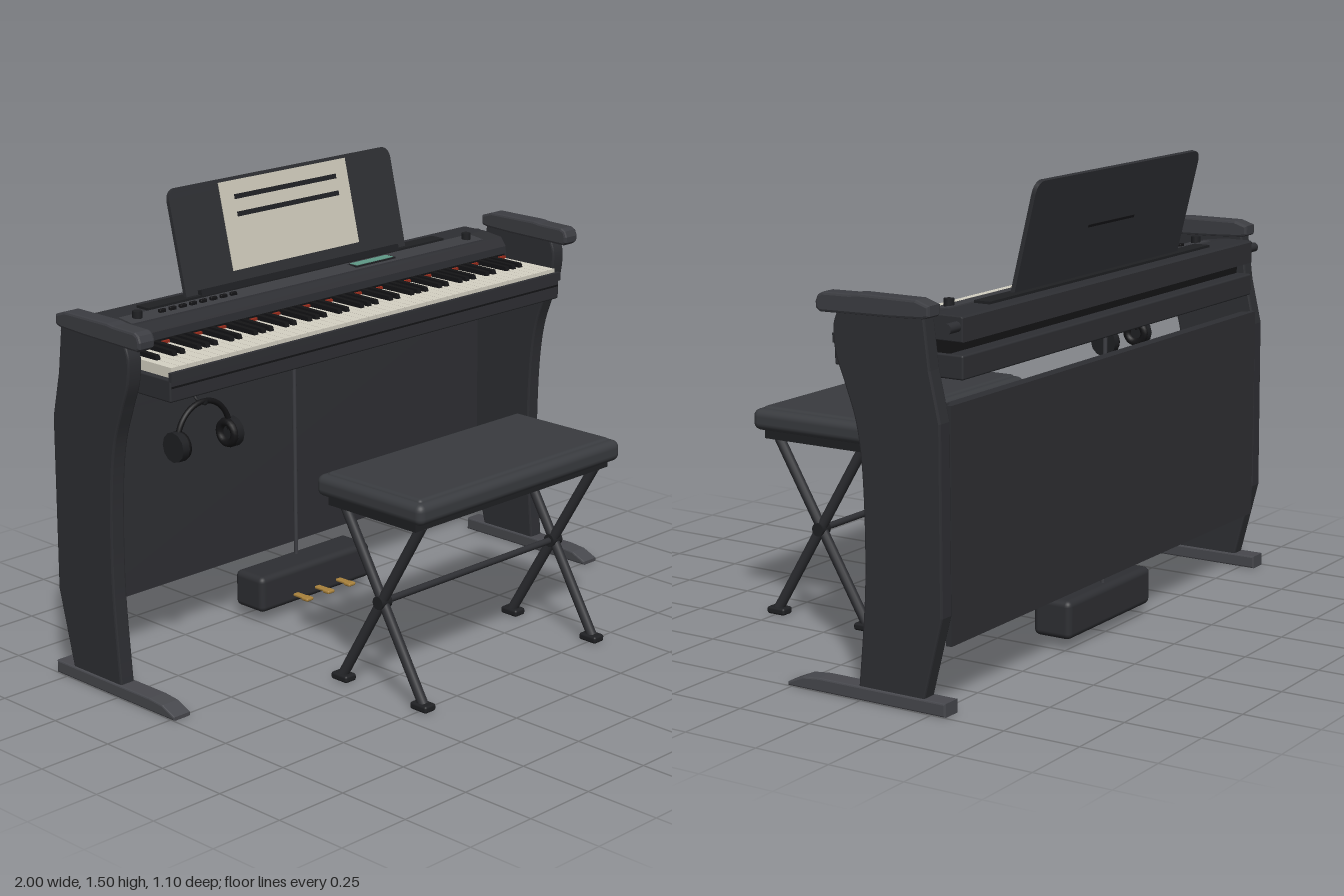
import * as THREE from 'three';
import { RoundedBoxGeometry } from 'three/addons/geometries/RoundedBoxGeometry.js';

const paint = (color) => new THREE.MeshStandardMaterial({ color });
const M = {
  body: paint(0x2e2f33), dark: paint(0x1f2023), foot: paint(0x47484d), panel: paint(0x3c3d42),
  seat: paint(0x393b3f), black: paint(0x141416), ivory: paint(0xd6d2c4), felt: paint(0x9a2c1c),
  paper: paint(0xcbc7b8), screen: paint(0x5f9a88), brass: paint(0xa8813c),
};

export function createModel() {
  const root = new THREE.Group();

  const group = (name, parent = root) => {
    const g = new THREE.Group();
    g.name = name;
    parent.add(g);
    return g;
  };
  const add = (name, geo, mat, parent = root) => {
    const m = new THREE.Mesh(geo, mat);
    m.name = name;
    parent.add(m);
    return m;
  };
  // Box given by its limits on each axis; r > 0 rounds the edges
  const box = (name, [x0, x1], [y0, y1], [z0, z1], mat, parent, r = 0) => {
    const s = [x1 - x0, y1 - y0, z1 - z0];
    const geo = r ? new RoundedBoxGeometry(...s, 3, r) : new THREE.BoxGeometry(...s);
    geo.translate((x0 + x1) / 2, (y0 + y1) / 2, (z0 + z1) / 2);
    return add(name, geo, mat, parent);
  };
  // Side profile of [z, y] points, extruded across x and centred on cx
  const profile = (name, shape, cx, width, bevel, mat, parent) => {
    const geo = new THREE.ExtrudeGeometry(shape, {
      depth: width - 2 * bevel, bevelEnabled: bevel > 0, bevelSize: bevel, bevelThickness: bevel,
      bevelOffset: -bevel, bevelSegments: 2, curveSegments: 10,
    });
    geo.rotateY(-Math.PI / 2).translate(cx + width / 2 - bevel, 0, 0);
    return add(name, geo, mat, parent);
  };
  const poly = (pts) => new THREE.Shape(pts.map((p) => new THREE.Vector2(...p)));
  const tube = (name, pts, r, mat, parent) => add(name, new THREE.TubeGeometry(
    new THREE.CatmullRomCurve3(pts.map((p) => new THREE.Vector3(...p))), 24, r, 8), mat, parent);
  const bar = (name, a, b, r, mat, parent) => {
    const va = new THREE.Vector3(...a), d = new THREE.Vector3(...b).sub(va);
    const m = add(name, new THREE.CylinderGeometry(r, r, d.length(), 12), mat, parent);
    m.position.copy(va).addScaledVector(d, 0.5);
    m.quaternion.setFromUnitVectors(new THREE.Vector3(0, 1, 0), d.normalize());
    return m;
  };

  // Curved side panels with arm caps and floor feet
  const side = new THREE.Shape();
  side.moveTo(-0.47, 0.03);
  side.lineTo(-0.24, 0.03);
  side.splineThru([[-0.262, 0.3], [-0.265, 0.49], [-0.257, 0.69], [-0.237, 0.83], [-0.2, 0.94],
    [-0.167, 1.03], [-0.16, 1.11], [-0.18, 1.165]].map((p) => new THREE.Vector2(...p)));
  for (const p of [[-0.475, 1.165], [-0.495, 1.01], [-0.53, 0.86], [-0.535, 0.29]]) side.lineTo(...p);
  const arm = poly([[-0.49, 1.16], [-0.47, 1.155], [-0.36, 1.15], [-0.115, 1.145], [-0.102, 1.155],
    [-0.1, 1.175], [-0.108, 1.195], [-0.125, 1.204], [-0.22, 1.206], [-0.25, 1.21], [-0.45, 1.21],
    [-0.495, 1.195], [-0.495, 1.165]]);
  const foot = poly([[-0.55, 0], [0.015, 0], [0.015, 0.012], [-0.04, 0.036], [-0.1, 0.042], [-0.55, 0.042]]);
  for (const s of [-1, 1]) {
    const g = group(s > 0 ? 'leftSide' : 'rightSide');
    profile('sidePanel', side, s * 0.966, 0.054, 0.006, M.body, g);
    profile('armCap', arm, s * 0.966, 0.064, 0.008, M.panel, g);
    profile('floorFoot', foot, s * 0.966, 0.068, 0.005, M.foot, g);
    bar('rearPeg', [s * 0.88, 1.125, -0.52], [s * 0.945, 1.125, -0.52], 0.016, M.body, g);
  }

  // Back board and its upper rail
  box('backBoard', [-0.94, 0.94], [0.195, 0.905], [-0.533, -0.513], M.body);
  box('backRail', [-0.915, 0.915], [0.83, 0.905], [-0.514, -0.495], M.body);

  // Keyboard case: lower tray, recessed core and upper housing
  const kb = group('keyboard');
  box('lowerTray', [-0.89, 0.89], [0.97, 1.042], [-0.54, -0.09], M.body, kb, 0.006);
  box('trayGroove', [-0.885, 0.885], [1.014, 1.02], [-0.1, -0.0885], M.black, kb);
  box('recessCore', [-0.88, 0.88], [1.03, 1.09], [-0.49, -0.335], M.black, kb);
  box('keySlip', [-0.89, 0.89], [1.035, 1.064], [-0.097, -0.083], M.body, kb);
  profile('upperHousing', poly([[-0.54, 1.08], [-0.335, 1.08], [-0.338, 1.115], [-0.36, 1.145],
    [-0.44, 1.155], [-0.535, 1.155], [-0.54, 1.15]]), 0, 1.784, 0.003, M.body, kb);
  box('feltStrip', [-0.877, 0.877], [1.076, 1.084], [-0.337, -0.325], M.felt, kb);

  // 52 white keys starting on A, with black keys after A, C, D, F and G
  const pitch = 1.754 / 52;
  for (let i = 0; i < 52; i++) {
    const x = -0.877 + i * pitch;
    box('whiteKey', [x + 0.0008, x + pitch - 0.0008], [1.043, 1.076], [-0.335, -0.099], M.ivory, kb);
    if (i < 51 && [0, 2, 3, 5, 6].includes(i % 7)) {
      profile('blackKey', poly([[-0.33, 1.07], [-0.192, 1.07], [-0.2, 1.09], [-0.33, 1.092]]),
        x + pitch, 0.017, 0, M.black, kb);
    }
  }

  // Control strip with buttons, knobs and display
  const controls = group('controls', kb);
  const strip = box('controlStrip', [-0.8, 0.8], [-0.004, 0.004], [-0.033, 0.033], M.panel, controls);
  strip.position.set(0, 1.15, -0.398);
  strip.rotation.x = 0.12;
  for (let i = 0; i < 8; i++) {
    const x = -0.65 + i * 0.043;
    box('button', [x - 0.013, x + 0.013], [1.15, 1.164], [-0.405, -0.392], M.black, controls, 0.003);
  }
  for (const x of [-0.75, 0.75]) bar('knob', [x, 1.148, -0.4], [x, 1.176, -0.4], 0.016, M.dark, controls);
  box('displayFrame', [0.19, 0.378], [1.148, 1.157], [-0.424, -0.38], M.dark, controls);
  box('display', [0.198, 0.37], [1.15, 1.159], [-0.419, -0.385], M.screen, controls);

  // Music stand leaning back, with a sheet
  box('standBase', [-0.675, 0.675], [1.15, 1.163], [-0.492, -0.437], M.dark);
  const stand = group('musicStand');
  stand.position.set(0, 1.155, -0.458);
  stand.rotation.x = -0.235;
  const board = new THREE.Shape();
  board.moveTo(-0.5, 0);
  board.lineTo(0.5, 0);
  board.lineTo(0.5, 0.315);
  board.quadraticCurveTo(0.497, 0.35, 0.465, 0.354);
  board.lineTo(-0.465, 0.354);
  board.quadraticCurveTo(-0.497, 0.35, -0.5, 0.315);
  add('standBoard', new THREE.ExtrudeGeometry(board, { depth: 0.014, bevelEnabled: false })
    .translate(0, 0, -0.007), M.body, stand);
  box('sheet', [-0.288, 0.285], [0.055, 0.343], [0.006, 0.0095], M.paper, stand);
  for (const y of [0.232, 0.289]) box('sheetLine', [-0.23, 0.23], [y - 0.008, y + 0.008], [0.009, 0.011], M.dark, stand);
  box('rearSlot', [-0.14, 0.14], [0.17, 0.178], [-0.009, -0.006], M.black, stand);
  box('standLip', [-0.45, 0.45], [0, 0.02], [0.006, 0.025], M.dark, stand);

  // Pedal unit, its cable and three pedals
  const pedals = group('pedalUnit');
  box('pedalBox', [-0.257, 0.257], [0.035, 0.16], [-0.52, -0.385], M.body, pedals, 0.02);
  bar('pedalCable', [0, 0.15, -0.488], [0, 0.98, -0.488], 0.007, M.panel, pedals);
  for (const x of [-0.1, 0, 0.1]) {
    box('pedal', [x - 0.012, x + 0.012], [0.06, 0.07], [-0.39, -0.335], M.brass, pedals, 0.004);
    box('pedalTip', [x - 0.016, x + 0.016], [0.058, 0.07], [-0.345, -0.315], M.brass, pedals, 0.005);
  }

  // Headphones on a hook below the keyboard
  const phones = group('headphones');
  tube('hook', [[-0.72, 0.98, -0.178], [-0.72, 0.945, -0.176], [-0.72, 0.93, -0.16], [-0.72, 0.926, -0.125],
    [-0.72, 0.94, -0.115]], 0.005, M.dark, phones);
  const arc = [];
  for (let i = 0; i <= 10; i++) {
    const a = Math.PI * i / 10;
    arc.push([-0.72 + 0.107 * Math.cos(a), 0.82 + 0.112 * Math.sin(a), -0.135]);
  }
  tube('headband', arc, 0.009, M.black, phones);
  for (const s of [-1, 1]) {
    const x = -0.72 + s * 0.108;
    bar('earCup', [x - s * 0.008, 0.81, -0.135], [x + s * 0.018, 0.81, -0.135], 0.048, M.dark, phones);
    const pad = add('earPad', new THREE.TorusGeometry(0.034, 0.014, 8, 24), M.black, phones);
    pad.rotation.y = Math.PI / 2;
    pad.position.set(x - s * 0.01, 0.81, -0.135);
  }

  // Folding bench with crossed legs
  const bench = group('bench');
  box('seatCushion', [-0.47, 0.47], [0.62, 0.69], [0.095, 0.55], M.seat, bench, 0.025);
  box('seatCrown', [-0.445, 0.445], [0.66, 0.698], [0.12, 0.525], M.seat, bench, 0.014);
  box('seatFrame', [-0.45, 0.45], [0.594, 0.625], [0.135, 0.51], M.dark, bench);
  for (const s of [-1, 1]) {
    const x = s * 0.403;
    for (const d of [-1, 1]) {
      bar('benchLeg', [x, 0.018, 0.324 + d * 0.176], [x, 0.6, 0.324 - d * 0.17], 0.017, M.body, bench);
      const z = 0.324 + d * 0.174;
      box('benchFoot', [x - 0.024, x + 0.024], [0, 0.024], [z - 0.035, z + 0.035], M.dark, bench, 0.008);
    }
    bar('legPivot', [x - 0.022, 0.31, 0.324], [x + 0.022, 0.31, 0.324], 0.022, M.dark, bench);
  }
  bar('crossBar', [-0.4, 0.31, 0.324], [0.4, 0.31, 0.324], 0.011, M.body, bench);

  return root;
}
